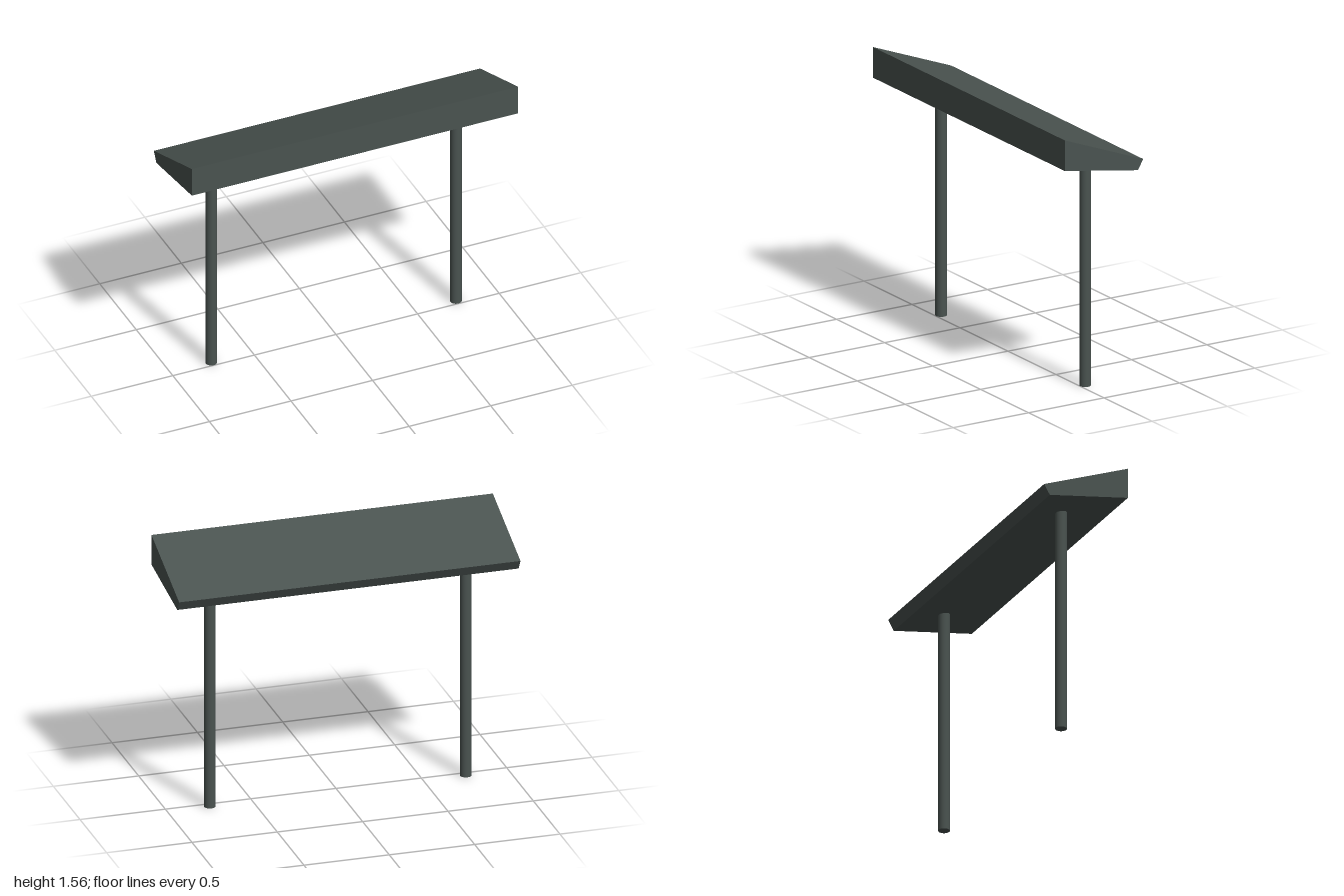
import * as THREE from 'three';

export function createModel() {
  const model = new THREE.Group();
  const metal = new THREE.MeshStandardMaterial({ color: 0x4a5350 });

  // Sloping wedge roof: side profile as (z, y), extruded along x
  const profile = new THREE.Shape([
    [0.26, 1.56], [-0.26, 1.36], [-0.225, 1.3], [0.26, 1.38],
  ].map(([z, y]) => new THREE.Vector2(z, y)));
  const roofGeometry = new THREE.ExtrudeGeometry(profile, { depth: 2, bevelEnabled: false });
  roofGeometry.translate(0, 0, -1).rotateY(-Math.PI / 2);
  const roof = new THREE.Mesh(roofGeometry, metal);
  roof.name = 'roof';
  model.add(roof);

  // Two round posts, their tops sunk into the roof
  const postHeight = 1.35;
  const postGeometry = new THREE.CylinderGeometry(0.033, 0.033, postHeight, 24);
  for (const side of [-1, 1]) {
    const post = new THREE.Mesh(postGeometry, metal);
    post.name = side > 0 ? 'leftPost' : 'rightPost';
    post.position.set(side * 0.75, postHeight / 2, -0.034);
    model.add(post);
  }
  return model;
}
